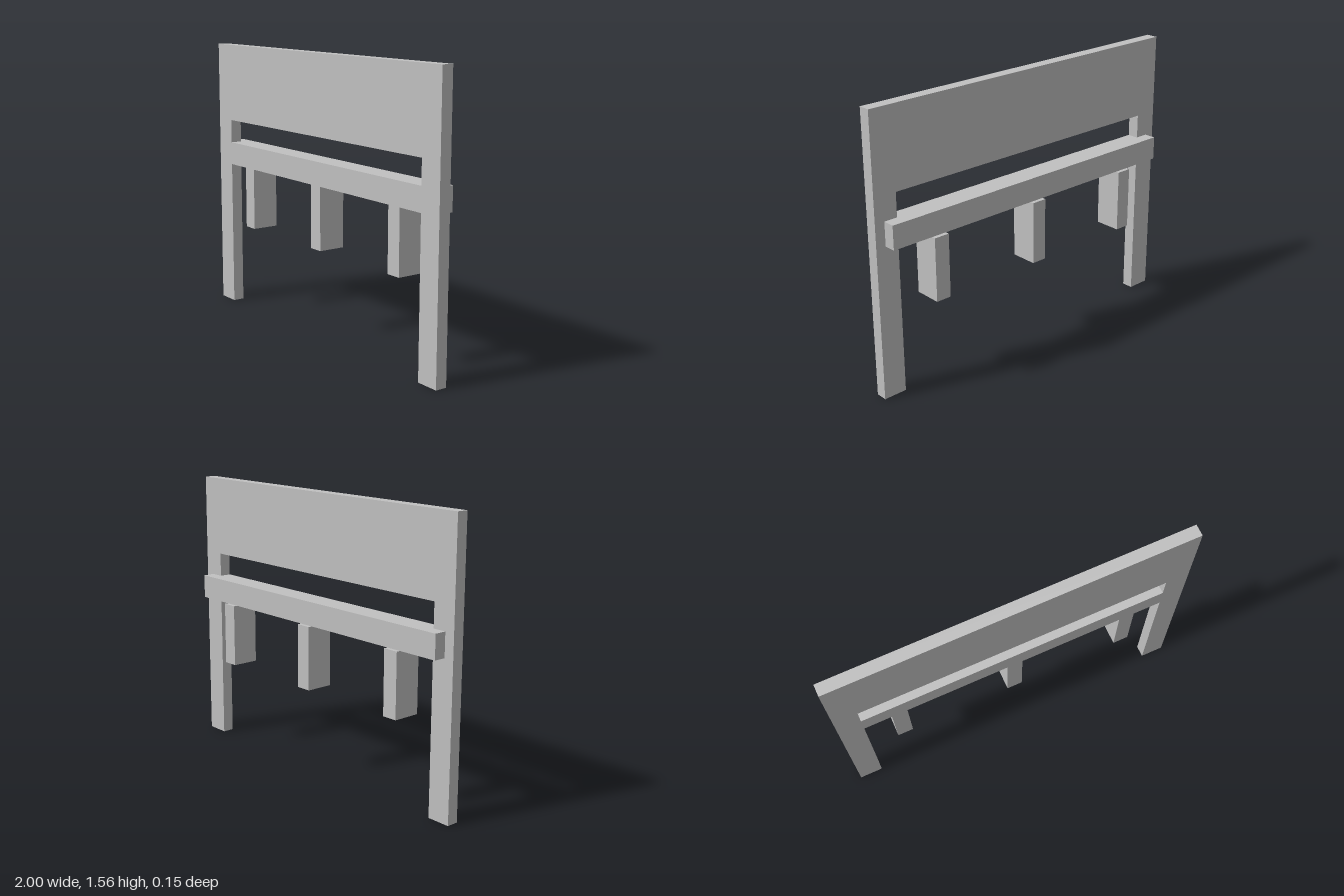
import * as THREE from 'three';

export function createModel() {
  const group = new THREE.Group();
  const grey = new THREE.MeshStandardMaterial({ color: 0xc0c0c0 });
  grey.name = 'light grey';

  const FRONT = 0.077, PANEL_BACK = 0.012, RAIL_BACK = -0.055;
  const HEIGHT = 1.56, LEG_INNER = 0.868;
  const RAIL_BOTTOM = 0.849, RAIL_TOP = 0.981, BOARD_BOTTOM = 1.115;

  function add(name, geometry) {
    const mesh = new THREE.Mesh(geometry, grey);
    mesh.name = name;
    group.add(mesh);
    return mesh;
  }

  // Box given by its minimum and maximum corners
  function addBox(name, [x0, y0, z0], [x1, y1, z1]) {
    add(name, new THREE.BoxGeometry(x1 - x0, y1 - y0, z1 - z0))
      .position.set((x0 + x1) / 2, (y0 + y1) / 2, (z0 + z1) / 2);
  }

  const points = (list) => list.map(([x, y]) => new THREE.Vector2(x, y));

  // Flat front frame: two legs, upper board and crossbar around a long slot
  const frame = new THREE.Shape(points([
    [-1, 0], [-LEG_INNER, 0], [-LEG_INNER, RAIL_BOTTOM], [LEG_INNER, RAIL_BOTTOM],
    [LEG_INNER, 0], [1, 0], [1, HEIGHT], [-1, HEIGHT],
  ]));
  frame.holes.push(new THREE.Path(points([
    [-LEG_INNER, RAIL_TOP], [-LEG_INNER, BOARD_BOTTOM],
    [LEG_INNER, BOARD_BOTTOM], [LEG_INNER, RAIL_TOP],
  ])));
  add('frontFrame', new THREE.ExtrudeGeometry(frame, {
    depth: FRONT - PANEL_BACK, bevelEnabled: false,
  })).position.z = PANEL_BACK;

  // Rail fixed behind the crossbar
  addBox('backRail', [-0.944, RAIL_BOTTOM, RAIL_BACK], [0.944, RAIL_TOP, PANEL_BACK]);

  // Short posts hanging under the crossbar, flush with the front
  for (const [name, x] of [['rightPost', -0.666], ['middlePost', 0], ['leftPost', 0.666]]) {
    addBox(name, [x - 0.044, 0.495, -FRONT], [x + 0.044, RAIL_BOTTOM, FRONT]);
  }

  return group;
}
